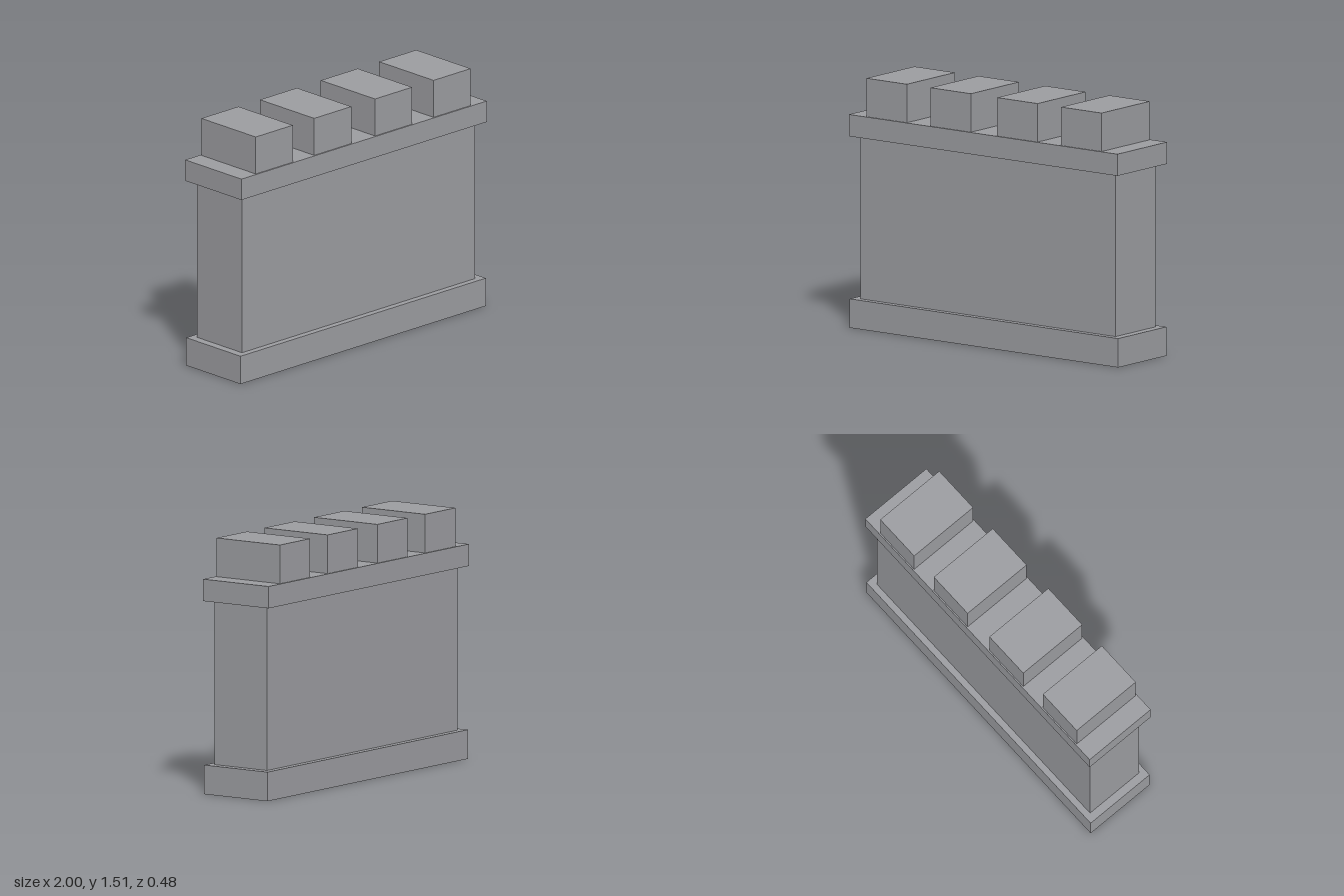
import * as THREE from 'three';

export function createModel() {
  const model = new THREE.Group();
  model.name = 'battlementWall';

  const stone = new THREE.MeshStandardMaterial({ color: 0x9b9ca0 });
  stone.name = 'grey stone';

  // Block spanning y0..y1, centred on z = 0
  function block(name, width, y0, y1, depth, x = 0) {
    const mesh = new THREE.Mesh(new THREE.BoxGeometry(width, y1 - y0, depth), stone);
    mesh.name = name;
    mesh.position.set(x, (y0 + y1) / 2, 0);
    model.add(mesh);
  }

  block('base', 2, 0, 0.173, 0.46);
  block('wall', 1.9, 0.173, 1.147, 0.382);
  block('cap', 2, 1.147, 1.277, 0.476);

  // Four merlons, mirrored about the middle
  for (const side of [-1, 1]) {
    block('innerMerlon', 0.302, 1.277, 1.507, 0.46, side * 0.248);
    block('outerMerlon', 0.302, 1.277, 1.507, 0.46, side * 0.725);
  }

  return model;
}
